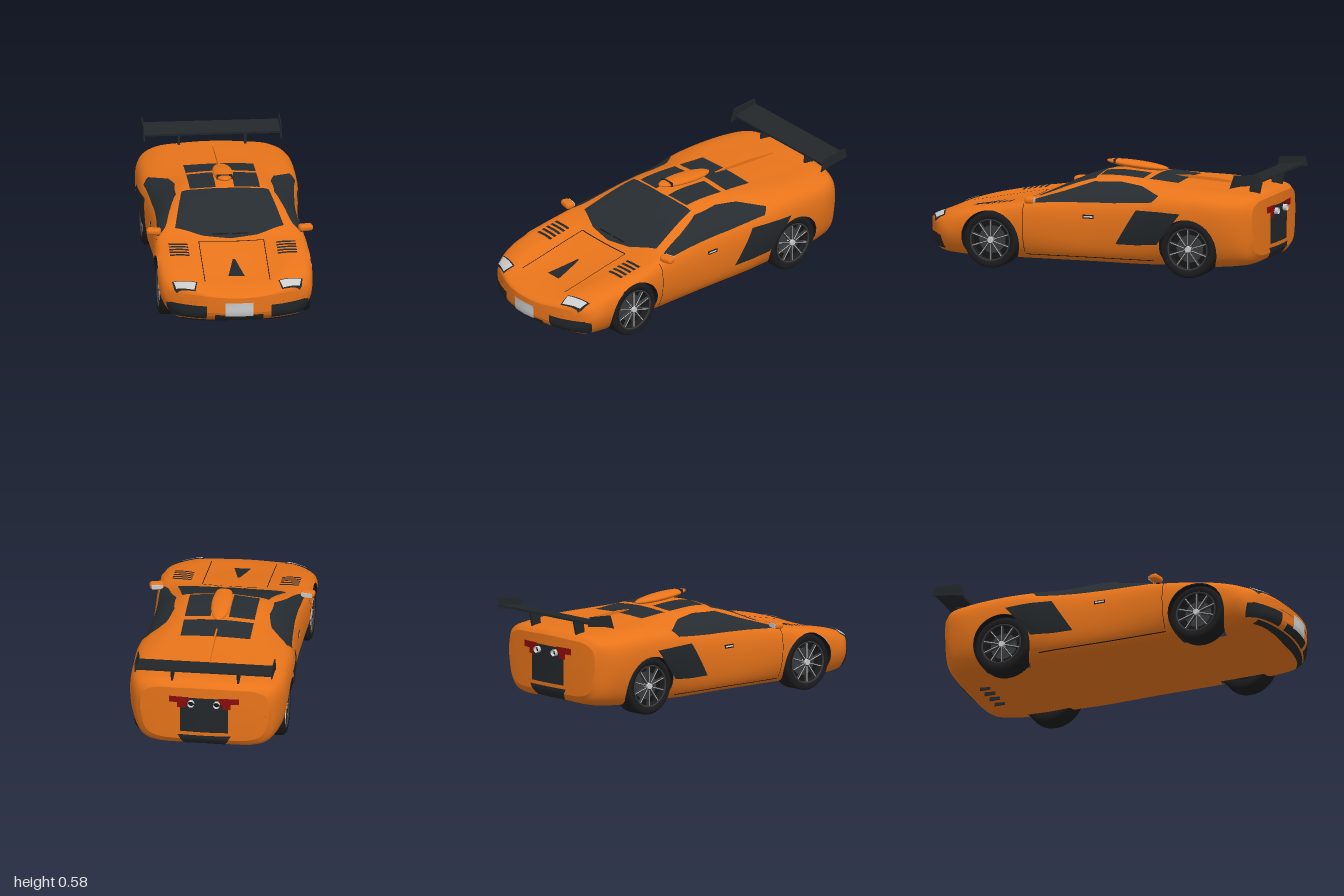
import * as THREE from 'three';
import { RoundedBoxGeometry } from 'three/addons/geometries/RoundedBoxGeometry.js';

const mat = (color) => new THREE.MeshStandardMaterial({ color, side: THREE.DoubleSide });
const ORANGE = new THREE.MeshStandardMaterial({ color: 0xe8741a });
const BLACK = mat(0x23272a), GLASS = mat(0x262c30), TYRE = mat(0x1c1c1e), DARK = mat(0x151515);
const SILVER = mat(0xcccccc), RED = mat(0x8a0c0c), RIM = mat(0x38393b);
const WHEELS = [{ z: 0.55, y: 0.155, r: 0.153 }, { z: -0.585, y: 0.16, r: 0.158 }];
const ARCH = 0.164;

// z, floor y, sill x, flank x y, shoulder x y, roof edge x y, centre top y
const SECTIONS = [
  [0.99, 0.14, 0.28, 0.31, 0.19, 0.30, 0.225, 0.22, 0.232, 0.225],
  [0.975, 0.11, 0.33, 0.36, 0.18, 0.34, 0.237, 0.25, 0.25, 0.236],
  [0.9, 0.075, 0.36, 0.40, 0.19, 0.375, 0.252, 0.27, 0.278, 0.258],
  [0.75, 0.06, 0.37, 0.415, 0.19, 0.40, 0.285, 0.29, 0.312, 0.281],
  [0.55, 0.055, 0.37, 0.42, 0.20, 0.405, 0.326, 0.30, 0.345, 0.323],
  [0.38, 0.055, 0.37, 0.415, 0.20, 0.40, 0.352, 0.30, 0.37, 0.36],
  [0.30, 0.055, 0.37, 0.41, 0.20, 0.393, 0.365, 0.30, 0.392, 0.397],
  [0, 0.055, 0.37, 0.40, 0.20, 0.38, 0.38, 0.245, 0.492, 0.516],
  [-0.3, 0.055, 0.38, 0.415, 0.22, 0.395, 0.40, 0.245, 0.487, 0.507],
  [-0.42, 0.06, 0.385, 0.427, 0.25, 0.412, 0.412, 0.29, 0.476, 0.493],
  [-0.6, 0.06, 0.39, 0.43, 0.27, 0.415, 0.415, 0.33, 0.465, 0.48],
  [-0.8, 0.07, 0.38, 0.42, 0.27, 0.405, 0.407, 0.32, 0.453, 0.47],
  [-0.93, 0.09, 0.355, 0.385, 0.27, 0.375, 0.40, 0.305, 0.44, 0.457],
  [-0.965, 0.13, 0.32, 0.35, 0.27, 0.34, 0.375, 0.28, 0.415, 0.43],
];

// Closed control ring of one section, bowed in plan towards nose and tail
function controlRing([z, yb, w2, w3, y3, w4, y4, w5, y5, y7]) {
  const half = [[0, yb], [w2 - 0.06, yb], [w2, yb + 0.25 * (y3 - yb)], [w3, y3], [w4, y4], [w5, y5],
    [w5 * 0.55, y7 - 0.3 * (y7 - y5)], [0, y7]];
  const bow = z > 0.6 ? 0.9 * ((z - 0.6) / 0.39) ** 2 : z < -0.9 ? -0.25 : 0;
  const ring = half.concat(half.slice(1, 7).reverse().map(([x, y]) => [-x, y]));
  return ring.map(([x, y]) => new THREE.Vector3(x, y, z - bow * x * x));
}

// Lofted shell with round wheel openings cut out
function bodyGeometry() {
  const rings = SECTIONS.map(controlRing), M = (SECTIONS.length - 1) * 9, N = 70;
  const tracks = rings[0].map((_, k) => new THREE.CatmullRomCurve3(rings.map((r) => r[k])));
  const loft = [];
  for (let i = 0; i <= M; i++) {
    const c = new THREE.CatmullRomCurve3(tracks.map((t) => t.getPoint(i / M)), true);
    loft.push(Array.from({ length: N }, (_, j) => c.getPoint(j / N)));
  }
  const cap = (ring, y) => ring.map((p) => new THREE.Vector3(p.x, y, p.z));
  loft.unshift(cap(loft[0], 0.19));
  loft.push(cap(loft[loft.length - 1], 0.27));
  const pts = loft.flat(), snap = new Set(), index = [];
  const archOf = (p) => (Math.abs(p.x) > 0.26 ? WHEELS.find((w) => Math.hypot(p.y - w.y, p.z - w.z) < ARCH) : null);
  const inside = pts.map(archOf);
  const tri = (...t) => {
    if (t.every((k) => inside[k])) return;
    t.forEach((k) => inside[k] && snap.add(k));
    index.push(...t);
  };
  for (let i = 0; i < loft.length - 1; i++) for (let j = 0; j < N; j++) {
    const a = i * N + j, b = i * N + (j + 1) % N;
    tri(a, a + N, b);
    tri(b, a + N, b + N);
  }
  // Rim points move onto the arch circle; low ones only lengthwise, so the floor stays level
  snap.forEach((k) => {
    const w = inside[k], p = pts[k], dy = p.y - w.y, dz = p.z - w.z, d = Math.hypot(dy, dz) || 1;
    const edge = Math.sqrt(ARCH * ARCH - dy * dy);
    if (dy > 0) {
      p.y = w.y + dy * ARCH / d;
      p.z = w.z + dz * ARCH / d;
    } else if (edge - Math.abs(dz) < 0.025) p.z = w.z + Math.sign(dz) * edge;
  });
  const g = new THREE.BufferGeometry().setFromPoints(pts);
  g.setIndex(index);
  g.computeVertexNormals();
  return g;
}

export function createModel() {
  const car = new THREE.Group();
  const add = (name, geo, material, x = 0, y = 0, z = 0, parent = car) => {
    const m = new THREE.Mesh(geo, material);
    m.name = name;
    m.position.set(x, y, z);
    parent.add(m);
    return m;
  };
  const box = (x, y, z) => new THREE.BoxGeometry(x, y, z);
  const body = add('body', bodyGeometry(), ORANGE);

  // Panels laid on the shell: a grid between two outline edges is projected along an axis
  const V = (x, y, z) => new THREE.Vector3(x, y, z), caster = new THREE.Raycaster();
  const rays = {
    top: (a, b) => [V(a, 2, b), V(0, -1, 0)],
    front: (a, b) => [V(a, b, 2), V(0, 0, -1)], back: (a, b) => [V(a, b, -2), V(0, 0, 1)],
    left: (a, b) => [V(2, b, a), V(-1, 0, 0)], right: (a, b) => [V(-2, b, a), V(1, 0, 0)],
  };
  const project = (axis, a, b) => {
    caster.set(...rays[axis](a, b));
    return caster.intersectObject(body)[0];
  };
  const along = (edge, t) => {
    const f = t * (edge.length - 1), i = Math.min(Math.floor(f), edge.length - 2), k = f - i;
    return [0, 1].map((c) => edge[i][c] * (1 - k) + edge[i + 1][c] * k);
  };
  function panel(name, material, axis, edgeA, edgeB, nu = 10, nv = 5, lift = 0.004) {
    const pos = [], index = [];
    let last = V(0, 0.2, 0);
    for (let i = 0; i <= nu; i++) for (let j = 0; j <= nv; j++) {
      const p = along(edgeA, i / nu), q = along(edgeB, i / nu), k = j / nv;
      const hit = project(axis, p[0] + (q[0] - p[0]) * k, p[1] + (q[1] - p[1]) * k);
      if (hit) last = hit.point.addScaledVector(hit.face.normal, lift);
      pos.push(last.x, last.y, last.z);
      const a = i * (nv + 1) + j;
      if (i < nu && j < nv) index.push(a, a + nv + 1, a + 1, a + 1, a + nv + 1, a + nv + 2);
    }
    const g = new THREE.BufferGeometry();
    g.setAttribute('position', new THREE.Float32BufferAttribute(pos, 3));
    // Keep the faces turned outward
    const n = V(0, 0, 0), P = (k) => V(...pos.slice(k * 3, k * 3 + 3));
    for (let t = 0; t < index.length; t += 3) {
      const a = P(index[t]);
      n.add(P(index[t + 1]).sub(a).cross(P(index[t + 2]).sub(a)));
    }
    g.setIndex(n.dot(rays[axis](0, 0)[1]) > 0 ? index.reverse() : index);
    g.computeVertexNormals();
    add(name, g, material);
  }
  const rect = (name, material, axis, a0, a1, b0, b1, nu = 8, nv = 4, lift) =>
    panel(name, material, axis, [[a0, b0], [a1, b0]], [[a0, b1], [a1, b1]], nu, nv, lift);

  panel('windshield', GLASS, 'top', [[-0.295, 0.30], [-0.15, 0.365], [0, 0.39], [0.15, 0.365], [0.295, 0.30]],
    [[-0.235, 0], [0, 0.012], [0.235, 0]], 24, 12);
  rect('rearWindow', GLASS, 'top', -0.19, 0.19, -0.455, -0.29);
  rect('hoodSeam', DARK, 'top', -0.177, 0.177, 0.415, 0.421, 10, 1);
  panel('hoodVent', BLACK, 'top', [[-0.006, 0.6], [0.006, 0.6]], [[-0.045, 0.78], [0.045, 0.78]], 4, 6);
  rect('frontSplitter', BLACK, 'front', -0.31, 0.31, 0.075, 0.093, 20, 2);
  rect('frontGrille', BLACK, 'front', -0.13, 0.13, 0.098, 0.13, 12, 4, 0.006);
  rect('numberPlate', SILVER, 'front', -0.075, 0.075, 0.125, 0.2, 6, 6, 0.008);
  rect('rearPanel', BLACK, 'back', -0.13, 0.13, 0.17, 0.375, 8, 8);
  panel('rearDiffuserPanel', BLACK, 'back', [[-0.145, 0.15], [0.145, 0.15]], [[-0.11, 0.09], [0.11, 0.09]]);

  for (const s of [1, -1]) {
    const side = s > 0 ? 'left' : 'right', X = (e) => e.map(([a, b]) => [a * s, b]);
    panel('sideWindow', GLASS, side,
      [[0.32, 0.378], [0.15, 0.43], [0, 0.482], [-0.15, 0.487], [-0.28, 0.472], [-0.41, 0.438]],
      [[0.34, 0.366], [0.15, 0.378], [0, 0.383], [-0.15, 0.388], [-0.28, 0.396], [-0.38, 0.406]], 20, 8);
    panel('sideIntake', BLACK, side, [[-0.29, 0.36], [-0.42, 0.36], [-0.55, 0.355]],
      [[-0.17, 0.17], [-0.29, 0.17], [-0.41, 0.18]], 10, 10);
    rect('doorSeam', DARK, side, 0.358, 0.361, 0.1, 0.36, 1, 10);
    rect('sillStrip', DARK, side, -0.38, 0.36, 0.085, 0.089, 14, 1);
    rect('doorHandle', DARK, side, -0.045, 0.02, 0.3, 0.32, 3, 2);
    rect('doorHandleInlay', SILVER, side, -0.038, 0.013, 0.306, 0.314, 3, 1, 0.006);
    panel('roofPanel', GLASS, 'top', X([[0.05, 0.0], [0.19, -0.01]]), X([[0.05, -0.255], [0.19, -0.255]]));
    rect('wiper', DARK, 'top', s * 0.01, s * 0.1, 0.352, 0.36, 6, 1, 0.008);
    rect('hoodSideSeam', DARK, 'top', s * 0.175, s * 0.179, 0.42, 0.85, 1, 14);
    for (let i = 0; i < 5; i++) {
      rect('hoodLouvre', BLACK, 'top', s * 0.24, s * 0.345, 0.455 + i * 0.031, 0.471 + i * 0.031, 4, 1);
    }
    panel('headlightSurround', BLACK, 'top', X([[0.353, 0.825], [0.22, 0.866]]), X([[0.342, 0.883], [0.234, 0.93]]));
    panel('headlight', SILVER, 'top', X([[0.343, 0.834], [0.227, 0.872]]), X([[0.333, 0.878], [0.24, 0.922]]), 10, 5, 0.007);
    rect('bumperIntake', BLACK, 'front', s * 0.175, s * 0.362, 0.1, 0.175, 10, 6);
    panel('bumperIntakeSide', BLACK, side, [[0.9, 0.175], [0.84, 0.168]], [[0.9, 0.1], [0.82, 0.095]], 6, 5);
    rect('tailLight', RED, 'back', s * 0.08, s * 0.19, 0.345, 0.38, 6, 3, 0.008);
    rect('tailLightLower', RED, 'back', s * 0.1, s * 0.145, 0.315, 0.346, 4, 3, 0.008);

    const pipe = add('exhaustPipe', new THREE.CylinderGeometry(0.018, 0.018, 0.05, 20, 1, true), SILVER, s * 0.07, 0.345, -0.965);
    pipe.rotation.x = Math.PI / 2;
    add('exhaustInner', new THREE.SphereGeometry(0.016, 12, 8), DARK, s * 0.07, 0.345, -0.965);
    for (const x of [0.035, 0.105]) add('diffuserFin', box(0.006, 0.04, 0.06), BLACK, s * x, 0.07, -0.8);

    // Door mirror
    const mirror = new THREE.Group();
    mirror.name = 'doorMirror';
    mirror.position.set(s * 0.412, 0.388, 0.32);
    mirror.rotation.y = s * 0.2;
    add('mirrorShell', new RoundedBoxGeometry(0.078, 0.036, 0.052, 4, 0.016), ORANGE, 0, 0, 0, mirror);
    add('mirrorGlass', box(0.06, 0.024, 0.004), SILVER, 0, 0, -0.026, mirror);
    add('mirrorStalk', box(0.04, 0.012, 0.018), BLACK, -s * 0.03, -0.02, 0, mirror).rotation.z = s * 0.5;
    car.add(mirror);

    // Wing endplate and strut, cut from side outlines
    const plate = (name, outline, t, x) => {
      const g = new THREE.ExtrudeGeometry(new THREE.Shape(outline.map(([z, y]) => new THREE.Vector2(-z, y))),
        { depth: t, bevelEnabled: false });
      add(name, g.translate(0, 0, -t / 2).rotateY(Math.PI / 2), BLACK, x);
    };
    plate('wingEndplate', [[-0.815, 0.5], [-0.875, 0.515], [-1, 0.53], [-0.985, 0.583], [-0.84, 0.575]], 0.006, s * 0.372);
    plate('wingStrut', [[-0.86, 0.45], [-0.92, 0.45], [-0.94, 0.54], [-0.87, 0.53]], 0.012, s * 0.18);

    // Wheels and their wells
    for (const { z, y, r } of WHEELS) {
      const wheel = new THREE.Group();
      wheel.name = 'wheel';
      wheel.position.set(s * 0.345, y, z);
      wheel.rotation.z = -s * Math.PI / 2;
      const profile = [[0.108, -0.06], [0.14, -0.066], [r, -0.05], [r, 0.05], [0.142, 0.065], [0.112, 0.062], [0.108, 0.02]];
      add('tyre', new THREE.LatheGeometry(profile.map(([a, b]) => new THREE.Vector2(a, b)), 40), TYRE, 0, 0, 0, wheel);
      add('wheelBack', new THREE.CylinderGeometry(0.109, 0.109, 0.06, 32), DARK, 0, -0.01, 0, wheel);
      add('rimEdge', new THREE.TorusGeometry(0.112, 0.005, 6, 40).rotateX(Math.PI / 2), RIM, 0, 0.06, 0, wheel);
      add('brakeDisc', new THREE.CylinderGeometry(0.075, 0.075, 0.006, 28), RIM, 0, 0.023, 0, wheel);
      for (let i = 0; i < 10; i++) {
        const spoke = add('spoke', box(0.09, 0.014, 0.01).translate(0.064, 0, 0), RIM, 0, 0.048, 0, wheel);
        spoke.rotation.y = i * Math.PI / 5;
        add('spokeEdge', box(0.085, 0.004, 0.003), SILVER, 0.064, 0.007, 0, spoke);
      }
      add('hub', new THREE.CylinderGeometry(0.016, 0.02, 0.03, 16), SILVER, 0, 0.048, 0, wheel);
      car.add(wheel);

      // The well's outer rim follows the shell around the opening
      const well = new THREE.CylinderGeometry(ARCH, ARCH, 0.13, 40, 1, true, -0.55, Math.PI + 1.1).rotateZ(Math.PI / 2);
      const p = well.attributes.position, grow = 1.035;
      for (let i = 0; i < p.count; i++) {
        const hit = p.getX(i) * s > 0 && project(side, z + p.getZ(i) * grow, y + p.getY(i) * grow);
        if (hit) p.setX(i, hit.point.x - s * 0.319);
      }
      add('wheelWell', well, DARK, s * 0.315, y, z);
      add('wheelWellWall', new THREE.CircleGeometry(ARCH, 32, -0.55, Math.PI + 1.1).rotateY(Math.PI / 2), DARK, s * 0.25, y, z);
    }
  }

  // Rear wing blade
  add('wingBlade', box(0.74, 0.012, 0.15), BLACK, 0, 0.537, -0.917).rotation.x = 0.13;

  // Roof scoop with its dark mouth, and the fin behind it
  const scoop = add('roofScoop', new THREE.SphereGeometry(1, 32, 16), ORANGE, 0, 0.548, -0.155);
  scoop.scale.set(0.055, 0.021, 0.178);
  scoop.rotation.x = -0.09;
  add('scoopMouth', box(0.085, 0.024, 0.01), BLACK, 0, 0.564, -0.035);
  const fin = new THREE.Shape([[0.37, 0.48], [0.8, 0.45], [0.79, 0.478], [0.6, 0.498], [0.45, 0.506], [0.38, 0.503]]
    .map(([a, b]) => new THREE.Vector2(a, b)));
  const finGeo = new THREE.ExtrudeGeometry(fin, { depth: 0.008, bevelEnabled: false });
  add('roofFin', finGeo.translate(0, 0, -0.004).rotateY(Math.PI / 2), ORANGE);
  return car;
}
